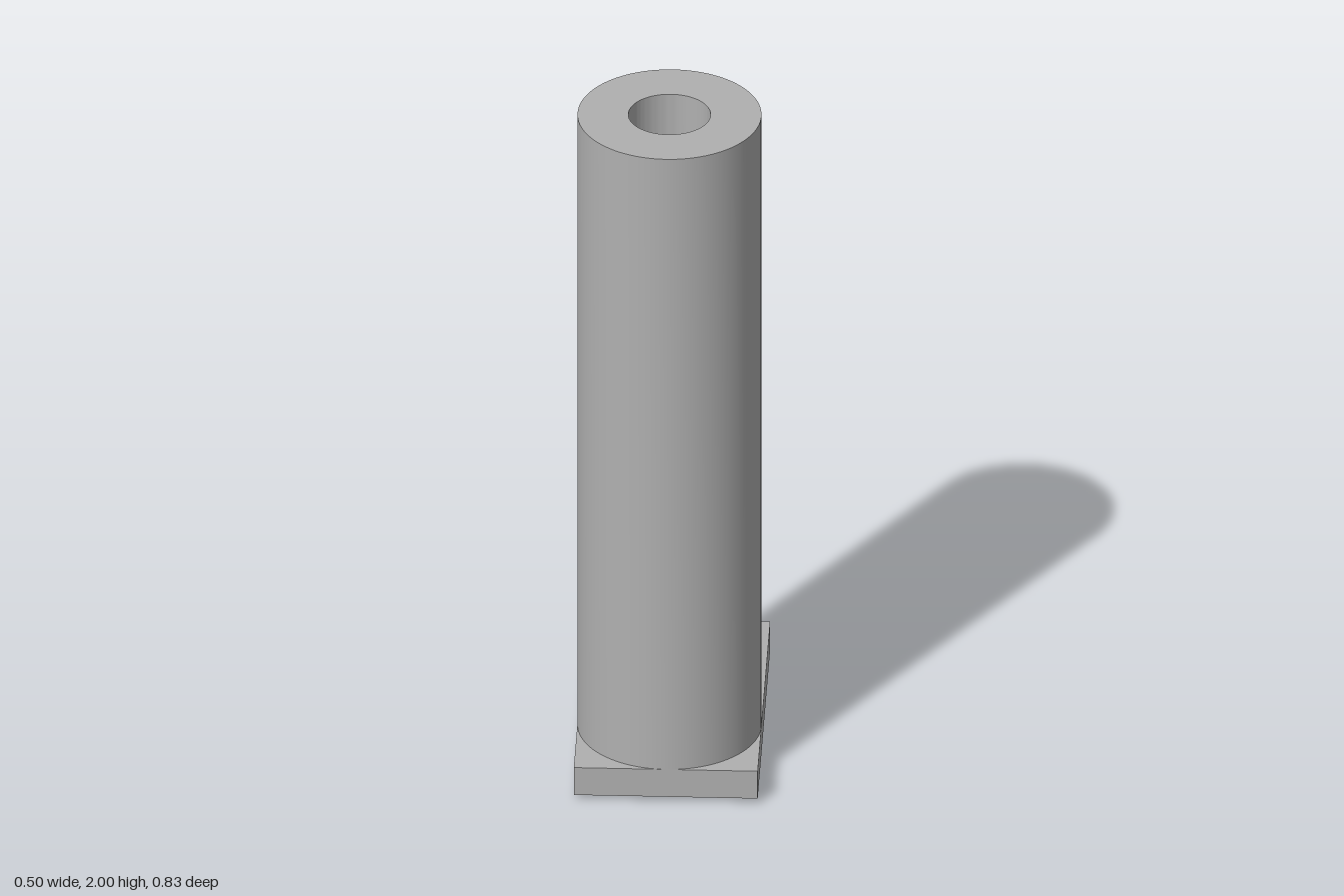
import * as THREE from 'three';
import { toCreasedNormals } from 'three/addons/utils/BufferGeometryUtils.js';

const HOLE_X = [-0.155, 0.125], HOLE_Z = -0.32, HOLE_R = 0.031;
const BASE_Y = 0.015, PLATE_TOP = 0.1;

export function createModel() {
  const group = new THREE.Group();
  const grey = new THREE.MeshStandardMaterial({ color: 0xb0b0b0 });
  grey.name = 'steel grey';

  const circle = (Type, x, z, r) => new Type().absarc(x, -z, r, 0, Math.PI * 2, false);

  // Extrudes a plan shape upwards from y0 to y1
  function addPart(name, shape, y0, y1) {
    let geo = new THREE.ExtrudeGeometry(shape, { depth: y1 - y0, bevelEnabled: false, curveSegments: 48 });
    geo.rotateX(-Math.PI / 2);
    geo.translate(0, y0, 0);
    geo = toCreasedNormals(geo, Math.PI / 6);
    const mesh = new THREE.Mesh(geo, grey);
    mesh.name = name;
    group.add(mesh);
  }

  // Rectangular base plate with two bolt holes
  const plate = new THREE.Shape();
  plate.moveTo(-0.25, -0.416).lineTo(0.25, -0.416).lineTo(0.25, 0.416).lineTo(-0.25, 0.416).closePath();
  for (const x of HOLE_X) plate.holes.push(circle(THREE.Path, x, HOLE_Z, HOLE_R));
  addPart('basePlate', plate, BASE_Y, PLATE_TOP);

  // Upright post with a blind bore closed by the plate
  const post = circle(THREE.Shape, 0, 0.166, 0.25);
  post.holes.push(circle(THREE.Path, 0, 0.166, 0.112));
  addPart('post', post, PLATE_TOP, 2);

  // Washers under the bolt holes
  HOLE_X.forEach((x, i) => {
    const washer = circle(THREE.Shape, x, HOLE_Z, 0.088);
    washer.holes.push(circle(THREE.Path, x, HOLE_Z, HOLE_R));
    addPart(i ? 'leftWasher' : 'rightWasher', washer, 0, BASE_Y);
  });

  return group;
}
